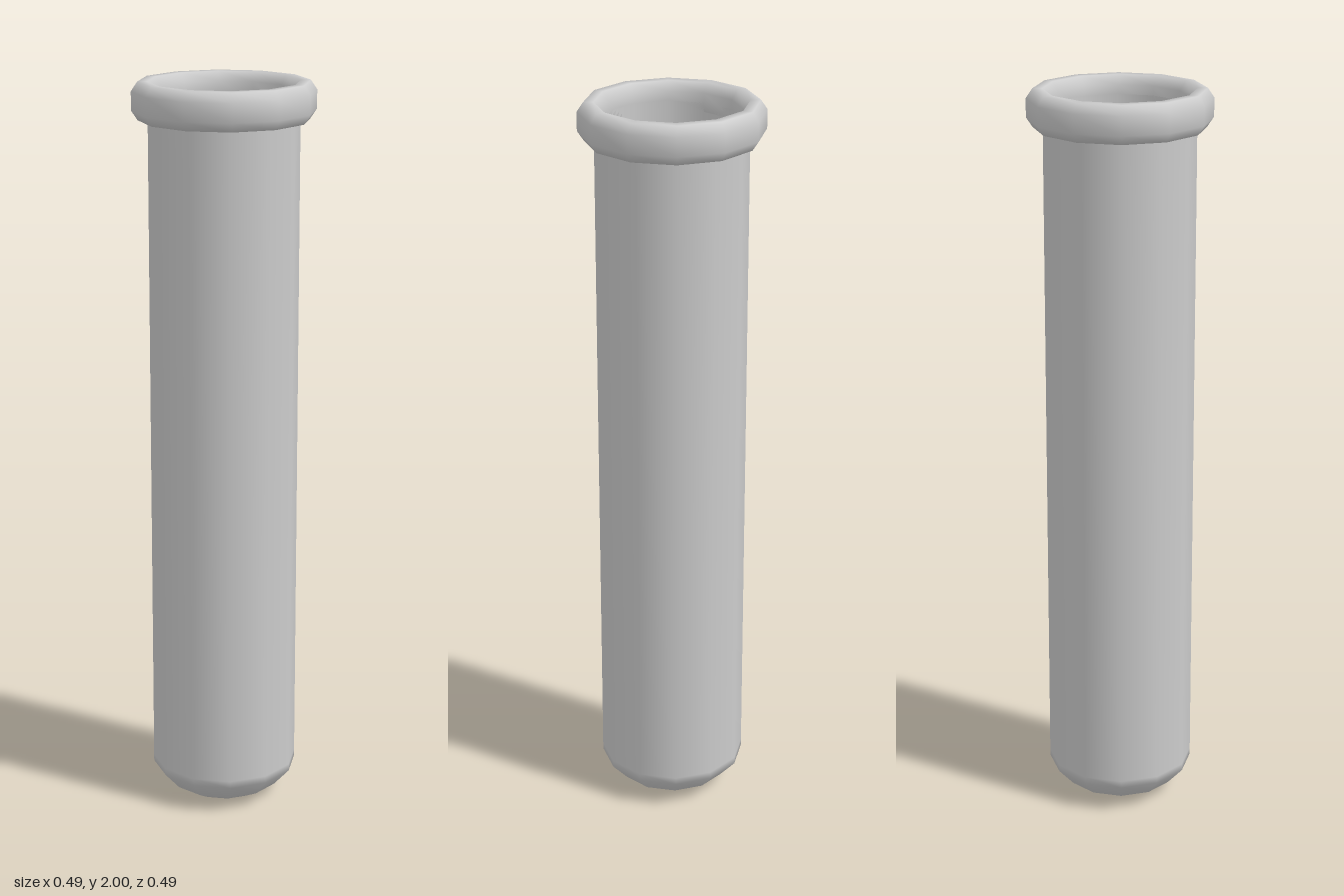
import * as THREE from 'three';

const SIDES = 12;

// Revolve [radius, height] pairs around y; outer profile runs upward, inner downward
function revolve(name, profile, material) {
  const points = profile.map(([r, y]) => new THREE.Vector2(r, y));
  const mesh = new THREE.Mesh(new THREE.LatheGeometry(points, SIDES), material);
  mesh.name = name;
  return mesh;
}

export function createModel() {
  const group = new THREE.Group();
  group.name = 'testTube';
  const material = new THREE.MeshStandardMaterial({ color: 0xcccccc, side: THREE.DoubleSide });

  // Outer wall with a rounded, slightly flattened foot
  group.add(revolve('outerWall', [
    [0, 0], [0.11, 0.005], [0.155, 0.03], [0.2, 0.08], [0.2, 0.1], [0.2, 1.92],
  ], material));

  // Hollow inside with a rounded floor
  group.add(revolve('innerWall', [
    [0.183, 1.95], [0.183, 0.1], [0.145, 0.045], [0.1, 0.02], [0, 0.015],
  ], material));

  // Rolled lip, an octagonal ring taller than it is wide
  group.add(revolve('rim', [
    [0.2, 1.9], [0.226, 1.9], [0.243, 1.925], [0.243, 1.975], [0.226, 2],
    [0.2, 2], [0.183, 1.975], [0.183, 1.925], [0.2, 1.9],
  ], material));

  return group;
}
